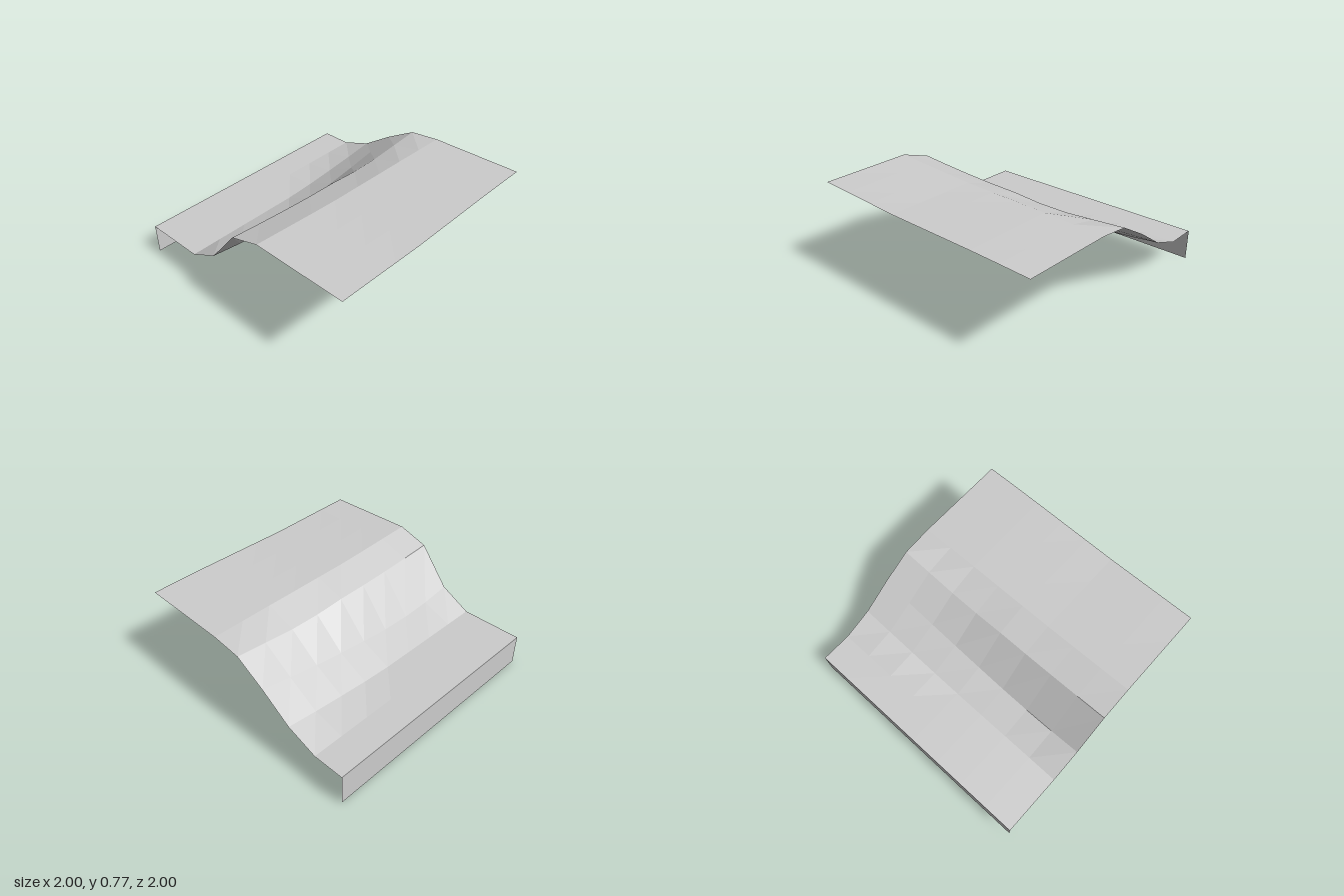
import * as THREE from 'three';

// Height rows along z from -1 (back) to 1 (front), one per grid line in x
const low = Array(9).fill(0.25);
const foot = [0.34, 0.31, 0.285, 0.263, 0.25, 0.25, 0.25, 0.25, 0.25];
const slope = [0.51, 0.465, 0.425, 0.39, 0.36, 0.335, 0.33, 0.345, 0.38];
const brow = [0.655, 0.635, 0.615, 0.615, 0.632, 0.638, 0.65, 0.667, 0.687];
const crest = [0.685, 0.692, 0.7, 0.706, 0.713, 0.72, 0.734, 0.75, 0.766];
const far = [0.697, 0.705, 0.711, 0.714, 0.717, 0.72, 0.732, 0.744, 0.755];
const mix = (t) => crest.map((h, i) => h + (far[i] - h) * t);
const columns = [low, low, foot, slope, brow, crest, mix(1 / 3), mix(2 / 3), far];

export function createModel() {
  const group = new THREE.Group();
  const grey = new THREE.MeshStandardMaterial({ color: 0xcccccc, flatShading: true, side: THREE.DoubleSide });
  grey.name = 'stone grey';

  // Ground sheet: an 8 x 8 grid, with diagonals running back-left to front-right
  const positions = [];
  const index = [];
  columns.forEach((heights, i) => heights.forEach((h, j) => positions.push(i / 4 - 1, h, j / 4 - 1)));
  for (let i = 0; i < 8; i++) {
    for (let j = 0; j < 8; j++) {
      const a = i * 9 + j;
      index.push(a, a + 1, a + 10, a, a + 10, a + 9);
    }
  }
  const sheet = new THREE.BufferGeometry();
  sheet.setAttribute('position', new THREE.Float32BufferAttribute(positions, 3));
  sheet.setIndex(index);
  sheet.computeVertexNormals();
  const terrain = new THREE.Mesh(sheet, grey);
  terrain.name = 'slopedGround';
  group.add(terrain);

  // Vertical skirt below the low edge
  const skirt = new THREE.Mesh(new THREE.PlaneGeometry(2, 0.25), grey);
  skirt.name = 'edgeSkirt';
  skirt.rotation.y = -Math.PI / 2;
  skirt.position.set(-1, 0.125, 0);
  group.add(skirt);

  return group;
}
